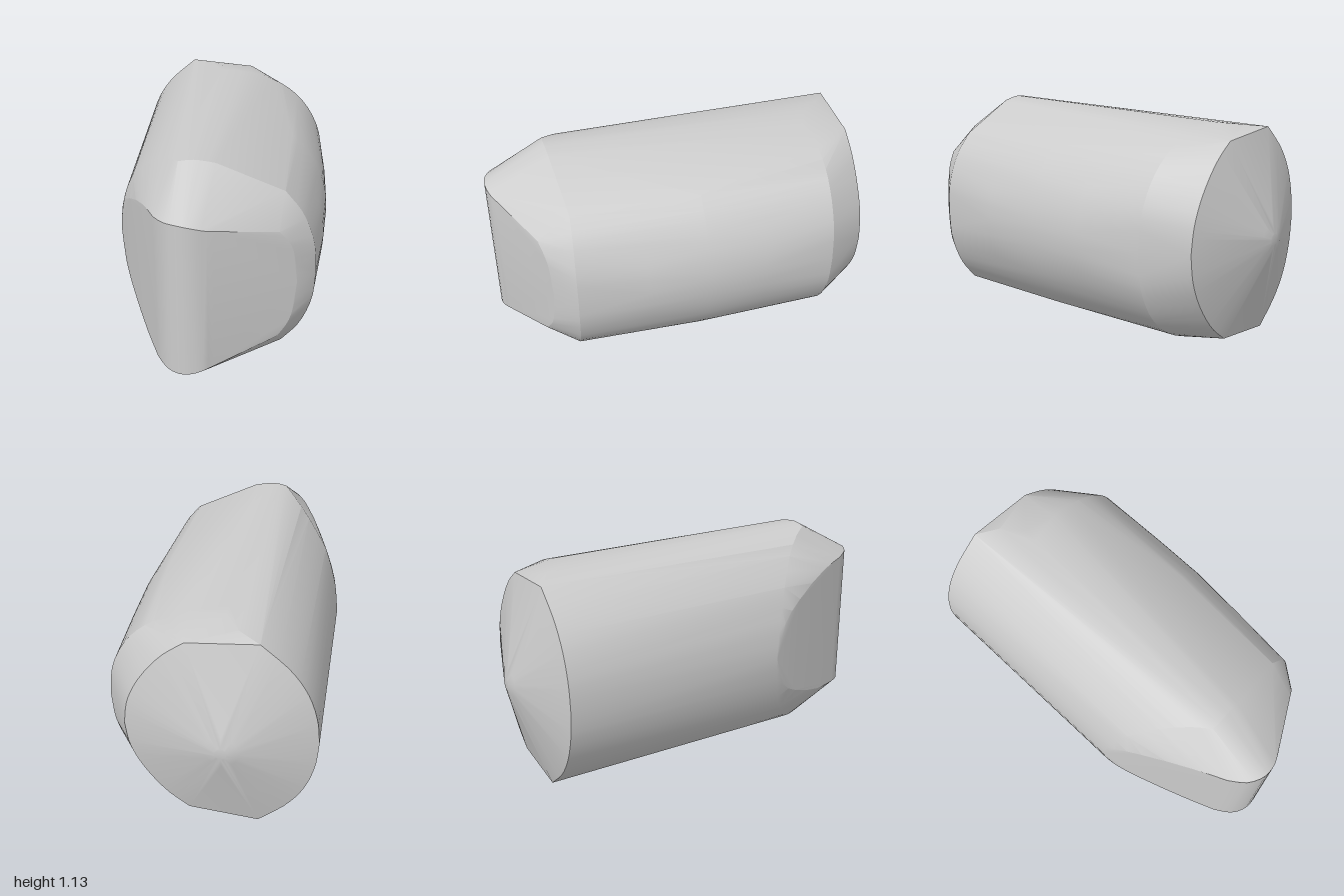
import * as THREE from 'three';
import { ConvexGeometry } from 'three/addons/geometries/ConvexGeometry.js';
import { toCreasedNormals } from 'three/addons/utils/BufferGeometryUtils.js';

const MID = 0.57; // height of the horizontal mirror plane

// Samples a smooth upper arc and adds its mirror image below the mid plane.
function mirroredArc(coords, samples) {
  const curve = new THREE.CatmullRomCurve3(coords.map((c) => new THREE.Vector3(...c)), false, 'centripetal');
  return curve.getPoints(samples).flatMap((p) => [p, new THREE.Vector3(p.x, 2 * MID - p.y, p.z)]);
}

export function createModel() {
  const group = new THREE.Group();
  group.name = 'facetedCapsule';
  const points = [];
  const add = (coords, samples = 12) => points.push(...mirroredArc(coords, samples));

  // Front wedge: slanted facet and rounded vertical nose
  add([[-0.5, MID, 0.31], [-0.47, 0.74, 0.373], [-0.41, 0.83, 0.5], [-0.3, 0.92, 0.73], [-0.225, 0.943, 0.888]], 8);
  add([[-0.225, 0.943, 0.888], [-0.17, 0.955, 0.96], [-0.11, 0.96, 0.993], [-0.06, 0.955, 1], [0, 0.94, 0.988], [0.05, 0.922, 0.963]], 10);
  // Right end of the nose facet
  add([[0.415, MID, 0.757], [0.405, 0.69, 0.762], [0.38, 0.78, 0.776], [0.33, 0.85, 0.8]], 8);

  // Front shoulder: side rim, top ridge and left crease
  add([[0.5, MID, 0.65], [0.487, 0.72, 0.65], [0.43, 0.87, 0.645], [0.345, 0.977, 0.64]], 10);
  add([[0.03, 1.12, 0.68], [-0.03, 1.131, 0.685], [-0.08, 1.135, 0.69], [-0.14, 1.125, 0.69]], 5);
  add([[-0.14, 1.125, 0.69], [-0.2, 1.1, 0.61], [-0.3, 1.03, 0.5], [-0.41, 0.91, 0.4]], 6);
  add([[-0.41, 0.91, 0.4], [-0.45, 0.82, 0.36], [-0.485, 0.7, 0.325], [-0.5, MID, 0.31]], 6);

  // Slight swelling along the right side of the body
  for (const [z, r] of [[0.3, 0.53], [0, 0.541], [-0.3, 0.53]]) {
    const arc = [];
    for (let i = 0; i <= 6; i++) {
      const a = i * 0.145;
      arc.push([r * Math.cos(a), MID + r * Math.sin(a), z]);
    }
    add(arc, 12);
  }

  // Rear shoulder
  add([[0.5, MID, -0.66], [0.48, 0.74, -0.66], [0.4, 0.9, -0.66], [0.28, 1.01, -0.66], [0.1, 1.085, -0.65], [-0.08, 1.112, -0.6]], 16);
  add([[-0.08, 1.11, -0.68], [-0.16, 1.1, -0.78]], 2);

  // Rear rim: left arc, straight top, right arc
  add([[-0.548, MID, -0.845], [-0.535, 0.7, -0.845], [-0.49, 0.84, -0.846], [-0.41, 0.96, -0.847], [-0.27, 1.085, -0.85]], 14);
  add([[0.07, 1.055, -0.856], [0.18, 0.97, -0.858], [0.29, 0.83, -0.86], [0.35, 0.7, -0.862], [0.37, MID, -0.862]], 14);

  // Blunt tip of the rear cone
  for (const [r, z] of [[0.08, -0.985], [0.03, -1]]) {
    for (let i = 0; i < 20; i++) {
      const a = (i / 20) * Math.PI * 2;
      points.push(new THREE.Vector3(-0.12 + r * Math.cos(a), MID + r * Math.sin(a), z));
    }
  }

  const geometry = toCreasedNormals(new ConvexGeometry(points), 0.36);
  const body = new THREE.Mesh(geometry, new THREE.MeshStandardMaterial({ color: 0xcccccc }));
  body.name = 'body';
  body.position.y = 1.135 - 2 * MID + 0.005; // rest on the ground
  group.add(body);
  return group;
}
